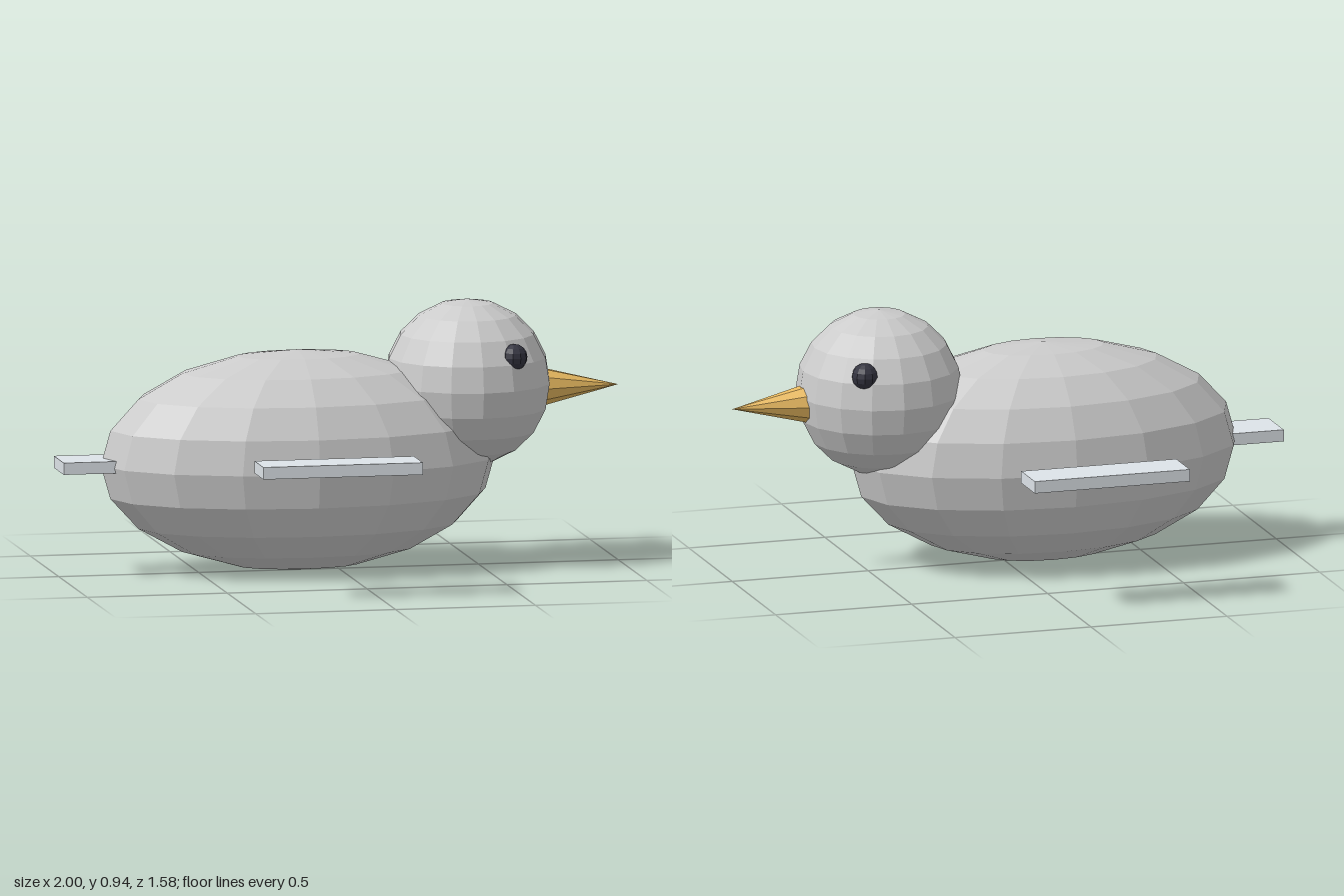
import * as THREE from 'three';

export function createModel() {
  const bird = new THREE.Group();
  bird.name = 'bird';

  const material = (color) => new THREE.MeshStandardMaterial({ color, flatShading: true });
  const plumage = material(0xcccccc);
  const feather = material(0xdde3e8);
  const horn = material(0xe8b960);
  const dark = material(0x33333f);

  const add = (name, geometry, mat, x, y, z) => {
    const mesh = new THREE.Mesh(geometry, mat);
    mesh.name = name;
    mesh.position.set(x, y, z);
    bird.add(mesh);
    return mesh;
  };

  // Egg-shaped body and round head
  const body = new THREE.SphereGeometry(1, 16, 10).scale(0.705, 0.39, 0.39);
  add('body', body, plumage, -0.145, 0.395, 0);
  add('head', new THREE.SphereGeometry(0.294, 16, 10), plumage, 0.46, 0.652, 0);

  // Beak pointing along +x, its base sunk into the head
  const beak = new THREE.ConeGeometry(0.07, 0.28, 10).rotateZ(-Math.PI / 2);
  add('beak', beak, horn, 0.86, 0.627, 0);

  // Eyes and detached wing slabs, mirrored across z
  for (const [label, side] of [['front', 1], ['back', -1]]) {
    add(`${label}Eye`, new THREE.SphereGeometry(0.047, 10, 8), dark, 0.583, 0.767, side * 0.222);
    add(`${label}Wing`, new THREE.BoxGeometry(0.57, 0.043, 0.157), feather, -0.145, 0.469, side * 0.713);
  }

  // Short flat tail
  add('tail', new THREE.BoxGeometry(0.24, 0.042, 0.175), feather, -0.88, 0.399, 0);

  return bird;
}
